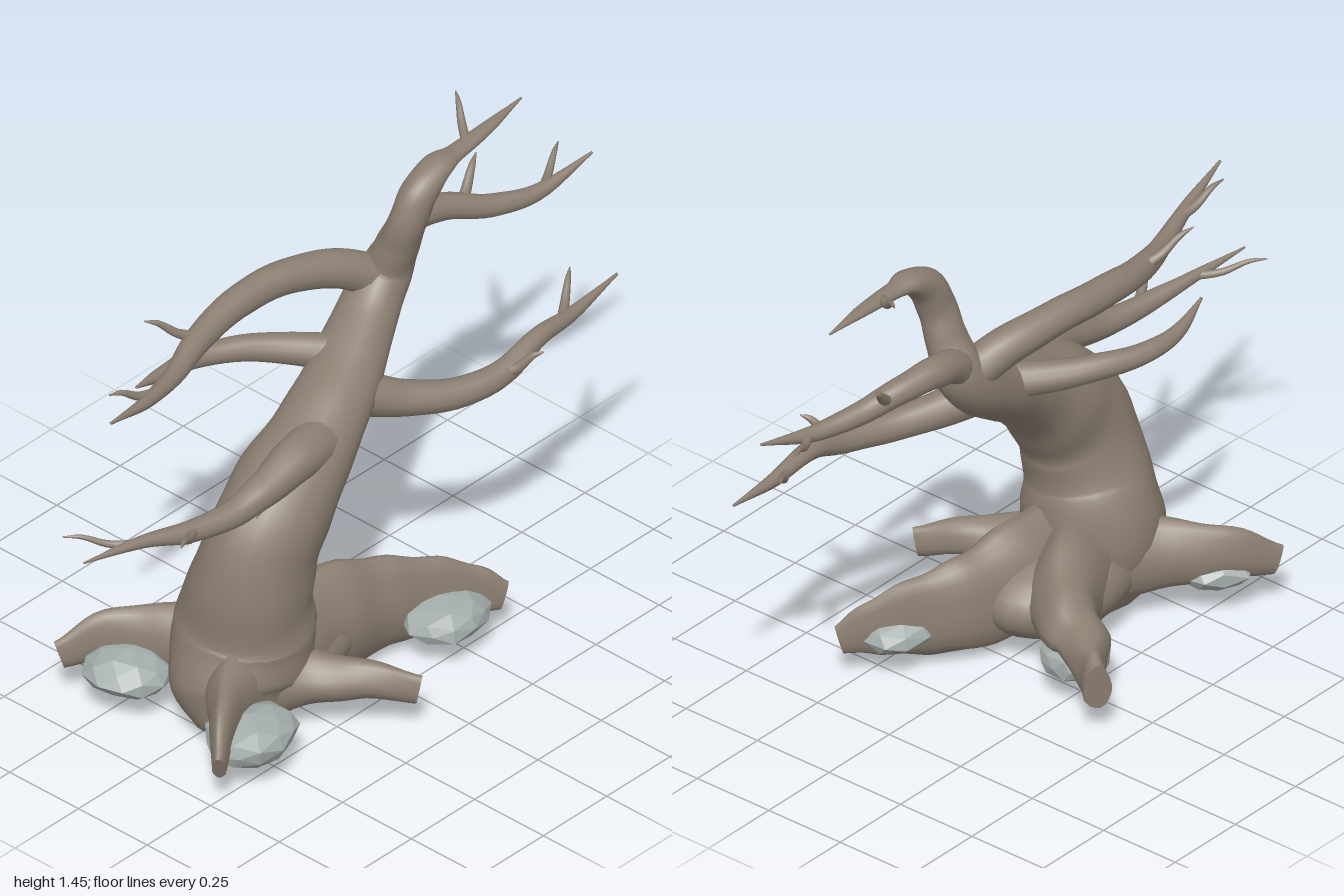
import * as THREE from 'three';

const UP = new THREE.Vector3(0, 1, 0);
const FRONT = new THREE.Vector3(0, 0, 1);

// Smooth tapered limb through stations [x, y, z, halfWidth, halfHeight]; ridge narrows its upper half
function limbGeometry(stations, { ref = UP, steps = 6, sides = 14, knots = 0.03, ridge = 0 } = {}) {
  const path = new THREE.CatmullRomCurve3(stations.map(s => new THREE.Vector3(s[0], s[1], s[2])));
  const size = new THREE.CatmullRomCurve3(
    stations.map(s => new THREE.Vector3(s[3], s[4] ?? s[3], 0)), false, 'catmullrom', 0.4);
  const rings = (stations.length - 1) * steps;
  const pos = [], index = [];
  for (let i = 0; i <= rings; i++) {
    const t = i / rings, p = path.getPoint(t), r = size.getPoint(t), dir = path.getTangent(t);
    const side = dir.clone().cross(ref).normalize();
    const up = side.clone().cross(dir);
    for (let j = 0; j < sides; j++) {
      const a = (j / sides) * Math.PI * 2;
      const bump = 1 + knots * Math.sin(3 * a + i * 0.55) * Math.cos(2 * a - i * 0.4);
      const taper = 1 - ridge * (0.5 + 0.5 * Math.sin(a));
      const v = p.clone()
        .addScaledVector(side, Math.cos(a) * Math.max(r.x, 0.002) * bump * taper)
        .addScaledVector(up, Math.sin(a) * Math.max(r.y, 0.002) * bump);
      pos.push(v.x, Math.max(v.y, 0), v.z);
    }
  }
  for (let i = 0; i < rings; i++) {
    for (let j = 0; j < sides; j++) {
      const k = (j + 1) % sides;
      const a = i * sides + j, b = a + sides, c = (i + 1) * sides + k, d = i * sides + k;
      index.push(a, b, d, b, c, d);
    }
  }
  // End caps with their own vertices, so the rims stay crisp
  for (const end of [0, rings]) {
    const p = path.getPoint(end / rings), first = pos.length / 3;
    for (let j = 0; j < sides; j++) {
      const o = (end * sides + j) * 3;
      pos.push(pos[o], pos[o + 1], pos[o + 2]);
    }
    pos.push(p.x, p.y, p.z);
    for (let j = 0; j < sides; j++) {
      const a = first + j, b = first + (j + 1) % sides;
      index.push(first + sides, end ? b : a, end ? a : b);
    }
  }
  const g = new THREE.BufferGeometry();
  g.setAttribute('position', new THREE.Float32BufferAttribute(pos, 3));
  g.setIndex(index);
  g.computeVertexNormals();
  return g;
}

// Faceted boulder, roughened by a rule on its vertex positions
function rockGeometry(seed) {
  const g = new THREE.IcosahedronGeometry(1, 1);
  const p = g.attributes.position, v = new THREE.Vector3();
  for (let i = 0; i < p.count; i++) {
    v.fromBufferAttribute(p, i);
    v.multiplyScalar(1 + 0.08 * Math.sin(v.x * 5 + seed) * Math.cos(v.z * 4 - seed) + 0.04 * Math.sin(v.y * 6 + seed));
    p.setXYZ(i, v.x, v.y, v.z);
  }
  g.computeVertexNormals();
  return g;
}

export function createModel() {
  const tree = new THREE.Group();
  tree.name = 'windsweptTree';
  const bark = new THREE.MeshStandardMaterial({ color: 0x8c7f72 });
  bark.name = 'bark';
  const stone = new THREE.MeshStandardMaterial({ color: 0xa3acaa });
  stone.name = 'stone';

  const add = (name, geometry, material = bark) => {
    const m = new THREE.Mesh(geometry, material);
    m.name = name;
    tree.add(m);
    return m;
  };

  // Leaning trunk, running on into the leading branch
  add('trunk', limbGeometry([
    [-0.44, 0.005, 0.1, 0.05, 0.04], [-0.43, 0.04, 0.08, 0.15, 0.11], [-0.4, 0.14, 0.035, 0.2, 0.18],
    [-0.365, 0.29, 0.02, 0.188, 0.197], [-0.37, 0.42, 0.043, 0.172, 0.17], [-0.345, 0.56, 0.065, 0.17, 0.147],
    [-0.25, 0.69, 0.065, 0.152, 0.145], [-0.1, 0.8, 0.045, 0.115, 0.122], [0.05, 0.885, 0, 0.094, 0.107],
    [0.2, 0.98, -0.055, 0.08, 0.087], [0.285, 1.07, -0.065, 0.074, 0.072], [0.295, 1.16, -0.03, 0.062, 0.055],
    [0.3, 1.25, 0, 0.057, 0.05], [0.335, 1.33, 0.01, 0.052, 0.05], [0.41, 1.38, 0.01, 0.032, 0.045],
    [0.47, 1.384, 0.008, 0.02, 0.03], [0.6, 1.391, 0, 0.015, 0.022], [0.77, 1.4, -0.02, 0.003],
  ], { ref: FRONT, sides: 24, knots: 0.02 }));

  // Main branches
  const branches = {
    upperRightBranch: [[0.27, 1.06, -0.06, 0.055], [0.34, 1.12, -0.085, 0.048], [0.43, 1.15, -0.1, 0.044],
      [0.53, 1.14, -0.08, 0.038], [0.66, 1.1, -0.03, 0.032], [0.8, 1.09, 0.01, 0.023], [0.99, 1.135, 0.035, 0.004]],
    lowerRightBranch: [[-0.08, 0.85, 0.03, 0.07], [0.04, 0.845, 0.06, 0.063], [0.16, 0.805, 0.13, 0.05],
      [0.3, 0.787, 0.2, 0.042], [0.43, 0.8, 0.23, 0.036], [0.56, 0.837, 0.225, 0.028],
      [0.72, 0.83, 0.21, 0.02], [0.92, 0.847, 0.19, 0.004]],
    upperLeftBranch: [[0.27, 1.05, -0.07, 0.06], [0.16, 1.11, -0.12, 0.055], [0, 1.145, -0.165, 0.048],
      [-0.17, 1.145, -0.18, 0.045], [-0.35, 1.125, -0.16, 0.038], [-0.5, 1.11, -0.11, 0.028],
      [-0.66, 1.13, -0.06, 0.019], [-0.85, 1.172, -0.02, 0.004]],
    middleLeftBranch: [[0.1, 0.92, 0, 0.06], [0.02, 0.93, -0.09, 0.048], [-0.1, 0.948, -0.2, 0.038],
      [-0.25, 0.957, -0.27, 0.029], [-0.37, 0.965, -0.275, 0.021], [-0.5, 1, -0.25, 0.004]],
    lowerLeftBranch: [[-0.12, 0.8, 0.08, 0.08], [-0.26, 0.82, 0.115, 0.066], [-0.4, 0.79, 0.12, 0.05],
      [-0.52, 0.763, 0.11, 0.038], [-0.66, 0.768, 0.085, 0.03], [-0.8, 0.793, 0.05, 0.018], [-1, 0.812, 0.02, 0.003]],
  };
  for (const [name, stations] of Object.entries(branches)) add(name, limbGeometry(stations));

  // Twigs: start, tip, radius; each bows upward a little
  const twigs = [
    [[0.53, 1.39, 0], [0.62, 1.452, -0.12], 0.014], [[0.57, 1.12, -0.06], [0.7, 1.21, -0.12], 0.018],
    [[0.82, 1.09, 0.01], [0.97, 1.13, -0.07], 0.014], [[0.42, 0.8, 0.23], [0.49, 0.875, 0.32], 0.018],
    [[0.68, 0.83, 0.21], [0.81, 0.893, 0.12], 0.015], [[-0.35, 1.13, -0.16], [-0.49, 1.22, -0.23], 0.016],
    [[-0.61, 1.125, -0.07], [-0.77, 1.185, -0.1], 0.015], [[-0.64, 0.77, 0.09], [-0.79, 0.83, 0.18], 0.016],
    [[-0.82, 0.795, 0.05], [-0.97, 0.832, -0.085], 0.012], [[-0.3, 0.81, 0.13], [-0.45, 0.73, 0.14], 0.014],
  ];
  twigs.forEach(([a, b, r], i) => {
    const mid = (f, lift) => a.map((v, k) => v + (b[k] - v) * f + (k === 1 ? lift : 0));
    add('twig' + (i + 1), limbGeometry(
      [[...a, r], [...mid(0.4, -0.008), r * 0.85], [...mid(0.75, 0.006), r * 0.55], [...b, 0.002]], { sides: 8, steps: 4 }));
  });

  // Spreading buttress roots, narrowing to fins that arch over the boulders
  const roots = {
    frontLeftRoot: [[-0.3, 0.2, 0.06, 0.14, 0.17], [-0.1, 0.19, 0.065, 0.12, 0.168], [0.07, 0.17, 0.1, 0.085, 0.147],
      [0.2, 0.165, 0.165, 0.045, 0.12], [0.3, 0.15, 0.23, 0.028, 0.085], [0.372, 0.125, 0.285, 0.016, 0.045]],
    backLeftRoot: [[-0.3, 0.2, 0, 0.15, 0.16], [-0.13, 0.2, -0.09, 0.12, 0.155], [-0.01, 0.2, -0.19, 0.1, 0.1],
      [0.04, 0.195, -0.29, 0.09, 0.055], [0.1, 0.16, -0.37, 0.045, 0.08], [0.145, 0.155, -0.43, 0.045, 0.07]],
    backRightRoot: [[-0.35, 0.2, -0.04, 0.14, 0.14], [-0.46, 0.195, -0.19, 0.075, 0.1],
      [-0.55, 0.195, -0.3, 0.042, 0.08], [-0.665, 0.15, -0.38, 0.02, 0.045]],
    frontRightRoot: [[-0.38, 0.2, 0.05, 0.15, 0.14], [-0.54, 0.205, 0.13, 0.08, 0.095],
      [-0.645, 0.2, 0.2, 0.045, 0.08], [-0.755, 0.14, 0.285, 0.022, 0.045]],
    frontRoot: [[-0.36, 0.17, 0.1, 0.12, 0.12], [-0.28, 0.165, 0.21, 0.09, 0.07],
      [-0.2, 0.165, 0.32, 0.055, 0.055], [-0.12, 0.14, 0.43, 0.022, 0.045]],
  };
  for (const [name, stations] of Object.entries(roots)) {
    add(name, limbGeometry(stations, { sides: 18, knots: 0.06, ridge: 0.3 }));
  }

  // Low mound joining the roots
  const mound = add('rootMound', new THREE.SphereGeometry(1, 28, 16));
  mound.position.set(-0.2, 0.16, 0);
  mound.scale.set(0.26, 0.13, 0.18);

  // Boulders held by the roots: position, half sizes
  const rocks = [
    [[-0.565, 0.13, 0.23], [0.14, 0.068, 0.115]], [[-0.565, 0.13, -0.22], [0.115, 0.065, 0.13]],
    [[0.21, 0.122, 0.22], [0.135, 0.055, 0.115]], [[0.02, 0.12, -0.245], [0.1, 0.055, 0.1]],
  ];
  rocks.forEach(([p, s], i) => {
    const rock = add('rock' + (i + 1), rockGeometry(i * 1.7), stone);
    rock.position.set(...p);
    rock.scale.set(...s);
  });
  return tree;
}
